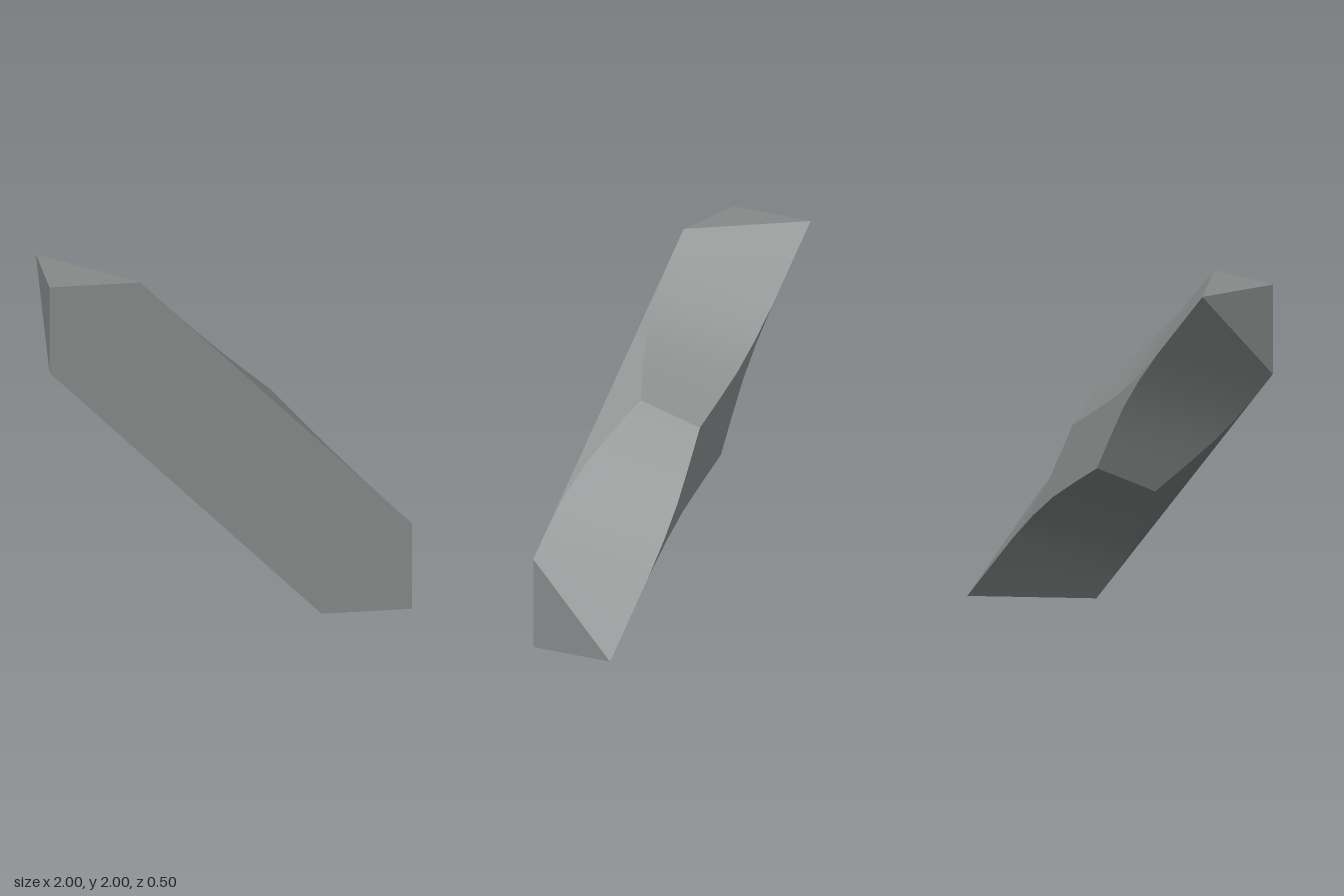
import * as THREE from 'three';
import { toCreasedNormals } from 'three/addons/utils/BufferGeometryUtils.js';

// t runs along the diagonal, u across it, z is depth
const at = (t, u, z) => new THREE.Vector3(t + u / 2, 1 - t + u / 2, z);

// Cross-section: flat front, chamfered back; e is how far the chamfer swells out.
// tc and ta are the stations of the centre and of the side edges (they differ at the mitred ends).
function section(tc, ta, e) {
  return [
    at(tc, 0, 0.25),
    at(ta, 0.5, 0.25), at(ta, 0.5, 0.25 - e), at(tc, e, -0.25),
    at(tc, -e, -0.25), at(ta, -0.5, 0.25 - e), at(ta, -0.5, 0.25),
  ];
}

function braceGeometry() {
  // Swelling of the chamfers from the middle towards one end: [station, amount]
  const half = [[0.15, 0.128], [0.3, 0.056], [0.45, 0.017], [0.62, 0]];
  const rings = [
    section(-1, -0.75, 0),
    ...[...half].reverse().map(([t, e]) => section(-t, -t, e)),
    section(0, 0, 0.208),
    ...half.map(([t, e]) => section(t, t, e)),
    section(1, 0.75, 0),
  ];

  const positions = [];
  const triangle = (a, b, c) => {
    if (new THREE.Triangle(a, b, c).getArea() < 1e-7) return;
    for (const p of [a, b, c]) positions.push(p.x, p.y, p.z);
  };

  // Skin between neighbouring sections
  for (let k = 0; k < rings.length - 1; k++) {
    const r = rings[k], s = rings[k + 1];
    for (let i = 0; i < r.length; i++) {
      const j = (i + 1) % r.length;
      triangle(r[i], s[i], r[j]);
      triangle(r[j], s[i], s[j]);
    }
  }

  // Mitred ends: two triangles each
  const first = rings[0], last = rings[rings.length - 1];
  triangle(first[0], first[1], first[3]);
  triangle(first[0], first[4], first[6]);
  triangle(last[0], last[3], last[1]);
  triangle(last[0], last[6], last[4]);

  const geometry = new THREE.BufferGeometry();
  geometry.setAttribute('position', new THREE.Float32BufferAttribute(positions, 3));
  return toCreasedNormals(geometry, 0.3);
}

export function createModel() {
  const group = new THREE.Group();
  group.name = 'diagonalBrace';
  const grey = new THREE.MeshStandardMaterial({ color: 0x868b8a });
  grey.name = 'grey';
  const brace = new THREE.Mesh(braceGeometry(), grey);
  brace.name = 'brace';
  group.add(brace);
  return group;
}
